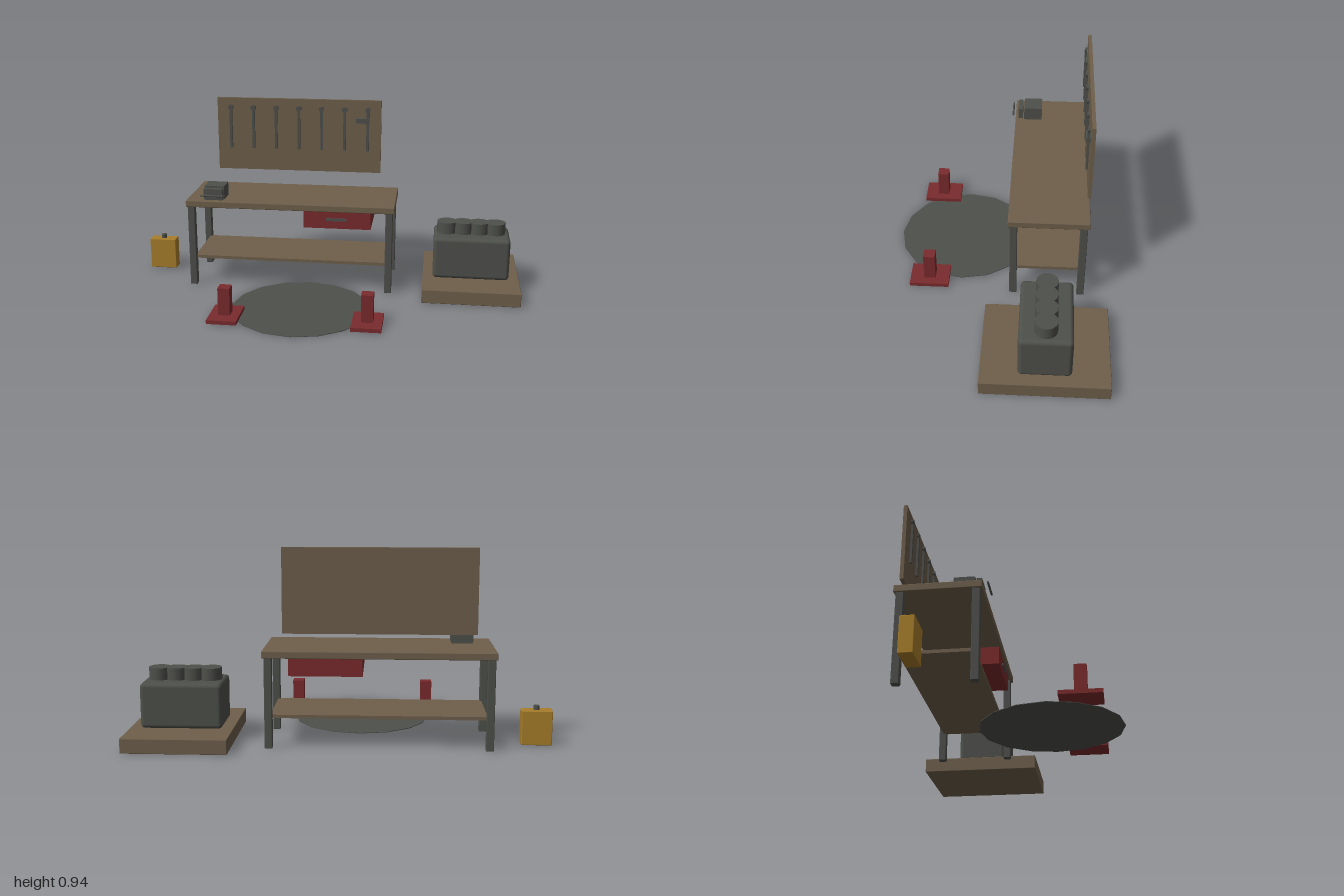
import * as THREE from 'three';
import { RoundedBoxGeometry } from 'three/addons/geometries/RoundedBoxGeometry.js';

export function createModel() {
  const model = new THREE.Group();
  model.name = 'workshop';
  const mat = (name, color) => new THREE.MeshStandardMaterial({ name, color });
  const wood = mat('wood', 0x6e5f4b);
  const steel = mat('darkSteel', 0x4e504b);
  const red = mat('redPaint', 0x7a2b2d);
  const yellow = mat('yellowPaint', 0xa87e2b);

  const add = (name, geometry, material, x, y, z) => {
    const mesh = new THREE.Mesh(geometry, material);
    mesh.name = name;
    mesh.position.set(x, y, z);
    model.add(mesh);
    return mesh;
  };
  // Box given by its limits on each axis; a positive r rounds the edges
  const box = (name, material, [x0, x1], [y0, y1], [z0, z1], r = 0) => {
    const size = [x1 - x0, y1 - y0, z1 - z0];
    const geometry = r ? new RoundedBoxGeometry(...size, 3, r) : new THREE.BoxGeometry(...size);
    return add(name, geometry, material, (x0 + x1) / 2, (y0 + y1) / 2, (z0 + z1) / 2);
  };

  // Workbench: top, shelf and four legs
  box('benchTop', wood, [-0.725, 0.355], [0.43, 0.464], [-0.442, -0.05], 0.004);
  box('benchShelf', wood, [-0.69, 0.32], [0.142, 0.158], [-0.41, -0.08]);
  for (const x of [-0.7, 0.328]) {
    for (const z of [-0.077, -0.414]) {
      box('benchLeg', steel, [x - 0.018, x + 0.018], [0, 0.432], [z - 0.018, z + 0.018], 0.003);
    }
  }

  // Drawer with handle
  box('drawer', red, [-0.11, 0.235], [0.34, 0.43], [-0.4, -0.062]);
  box('drawerHandle', steel, [0.008, 0.112], [0.382, 0.395], [-0.063, -0.054]);

  // Vise: body, jaw and turning bar
  box('viseBody', steel, [-0.634, -0.53], [0.464, 0.534], [-0.193, -0.097]);
  box('viseJaw', steel, [-0.631, -0.533], [0.468, 0.526], [-0.09, -0.066]);
  add('viseBar', new THREE.CylinderGeometry(0.005, 0.005, 0.12, 8), steel, -0.582, 0.497, -0.038)
    .rotation.z = Math.PI / 2;

  // Tool board with a row of hanging tools
  box('toolBoard', wood, [-0.63, 0.257], [0.547, 0.94], [-0.442, -0.424]);
  for (let i = 0; i < 7; i++) {
    const x = -0.556 + i * 0.1237;
    box('toolShaft', steel, [x - 0.007, x + 0.007], [0.669, 0.88], [-0.419, -0.408]);
    add('toolHead', new THREE.CylinderGeometry(0.015, 0.015, 0.012, 6), steel, x, 0.89, -0.413)
      .rotation.x = Math.PI / 2;
  }

  // Hammer
  box('hammerHandle', wood, [0.148, 0.172], [0.72, 0.822], [-0.422, -0.404]);
  box('hammerHead', steel, [0.123, 0.195], [0.82, 0.845], [-0.425, -0.402]);

  // Engine block with four cylinders on a pallet
  box('pallet', wood, [0.505, 1], [0, 0.071], [-0.543, 0.049], 0.003);
  box('engineBlock', steel, [0.556, 0.947], [0.071, 0.29], [-0.368, -0.123], 0.02);
  for (let i = 0; i < 4; i++) {
    add('engineCylinder', new THREE.CylinderGeometry(0.052, 0.052, 0.08, 24), steel,
      0.624 + i * 0.083, 0.309, -0.246);
  }

  // Fuel can with cap
  box('fuelCan', yellow, [-1, -0.856], [0.004, 0.17], [-0.334, -0.27], 0.004);
  add('fuelCap', new THREE.CylinderGeometry(0.014, 0.014, 0.024, 10), steel, -0.928, 0.179, -0.301);

  // Floor patch
  add('floorPatch', new THREE.CylinderGeometry(0.345, 0.345, 0.003, 16), steel, -0.09, 0.0015, 0.19);

  // Pair of stands
  for (const x of [-0.435, 0.257]) {
    box('standBase', red, [x - 0.073, x + 0.073], [0.003, 0.022], [0.249, 0.445]);
    box('standPost', red, [x - 0.029, x + 0.029], [0.02, 0.16], [0.318, 0.376]);
  }
  return model;
}
